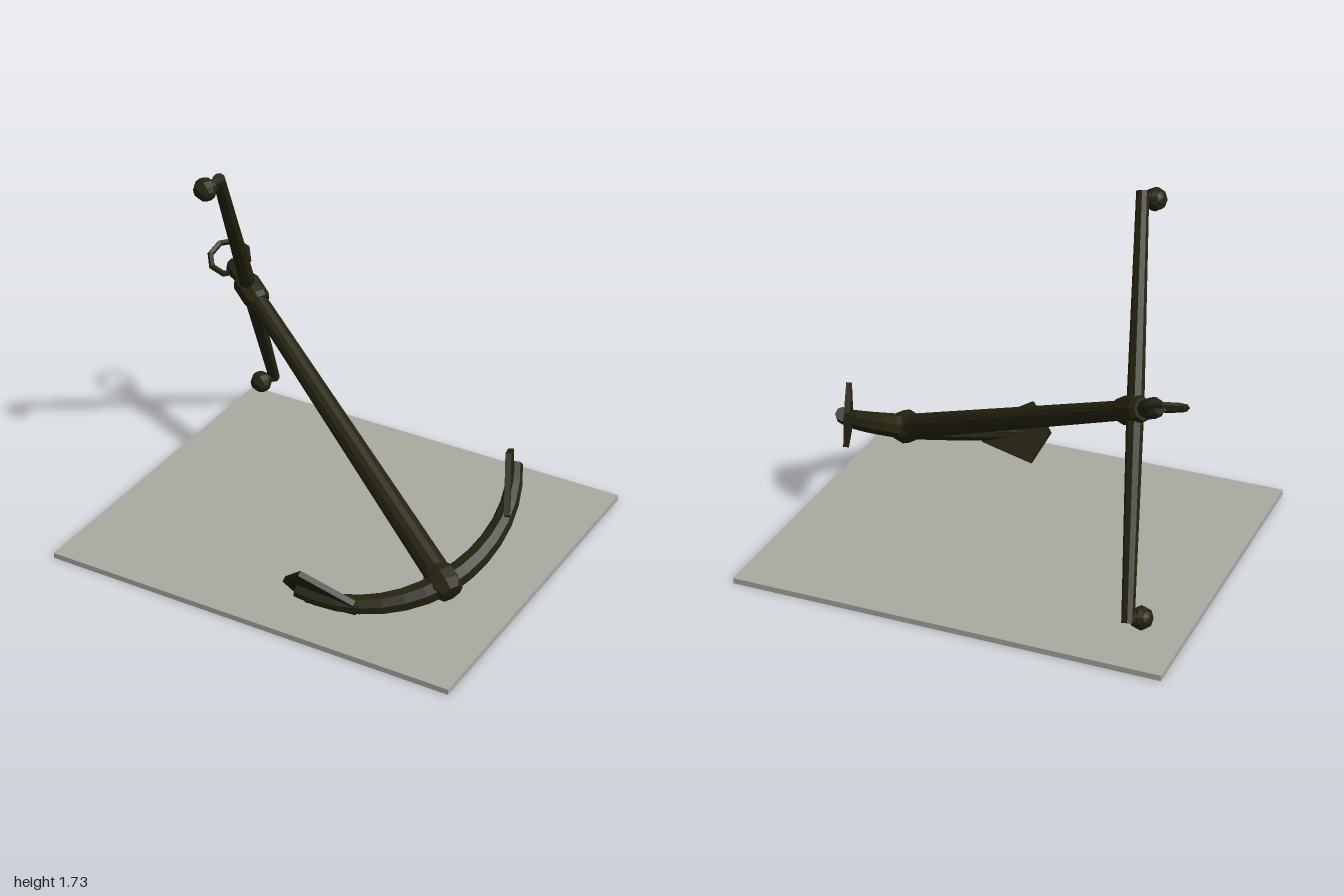
import * as THREE from 'three';

export function createModel() {
  const model = new THREE.Group();
  model.name = 'anchorOnBase';
  const iron = new THREE.MeshStandardMaterial({ name: 'dark iron', color: 0x25230f, flatShading: true });
  const stone = new THREE.MeshStandardMaterial({ name: 'grey stone', color: 0xaaa9a2, flatShading: true });

  const add = (parent, name, geometry, material = iron, x = 0, y = 0, z = 0) => {
    const mesh = new THREE.Mesh(geometry, material);
    mesh.name = name;
    mesh.position.set(x, y, z);
    parent.add(mesh);
    return mesh;
  };
  // Turned part from [radius, height] pairs
  const lathe = (points, sides = 8) =>
    new THREE.LatheGeometry(points.map(([r, y]) => new THREE.Vector2(r, y)), sides);

  // Flat slab under the anchor
  add(model, 'base', new THREE.BoxGeometry(2, 0.026, 1.7), stone, 0, 0.013, 0);

  // Tilted frame: origin at the crown, y up the shank, z along the stock, x along the arms
  const anchor = new THREE.Group();
  anchor.name = 'anchor';
  const up = new THREE.Vector3(-0.811, 0.413, -0.415).normalize();
  const along = new THREE.Vector3(0.176, 0.841, 0.511);
  along.addScaledVector(up, -along.dot(up)).normalize();
  const side = new THREE.Vector3().crossVectors(up, along);
  anchor.quaternion.setFromRotationMatrix(new THREE.Matrix4().makeBasis(side, up, along));
  anchor.position.set(0.75, 0.215, 0.42);
  model.add(anchor);

  // Shank with crown boss, stock collar and rounded head
  add(anchor, 'shank', lathe([[0, 0], [0.06, 0], [0.043, 1.66], [0.043, 1.8], [0, 1.8]], 12));
  add(anchor, 'crown', lathe([[0, -0.065], [0.055, -0.06], [0.08, -0.02], [0.08, 0.03], [0.06, 0.075], [0, 0.075]]));
  add(anchor, 'stockCollar', lathe([[0, 1.645], [0.052, 1.645], [0.062, 1.67], [0.062, 1.775], [0.05, 1.8], [0, 1.8]]));
  add(anchor, 'shankHead', lathe([[0, 1.8], [0.036, 1.8], [0.046, 1.84], [0.046, 1.88], [0.03, 1.905], [0, 1.905]]));
  add(anchor, 'ring', new THREE.TorusGeometry(0.092, 0.015, 5, 8), iron, 0, 1.935, 0);

  // Stock tapering to both ends, each end carrying an offset ball
  const stock = new THREE.Group();
  stock.name = 'stock';
  stock.position.set(0, 1.745, 0.018);
  anchor.add(stock);
  const bar = lathe([[0, -0.91], [0.028, -0.91], [0.038, 0], [0.028, 0.91], [0, 0.91]]);
  add(stock, 'stockBar', bar).rotation.x = Math.PI / 2;
  for (const s of [-1, 1]) {
    add(stock, 'stockNeck', new THREE.CylinderGeometry(0.026, 0.026, 0.07, 8), iron, -0.035, 0, s * 0.885)
      .rotation.z = Math.PI / 2;
    add(stock, 'stockBall', new THREE.SphereGeometry(0.053, 8, 6), iron, -0.07, 0, s * 0.885);
  }

  // Curved arms: a tube on an arc, thinned toward both tips, with flat ends
  const R = 0.64, steps = 16, sides = 8, reach = 1.034 * 8 / 7;
  const arc = new THREE.Curve();
  arc.getPoint = (t, target = new THREE.Vector3()) => {
    const a = (t * 2 - 1) * reach;
    return target.set(R * Math.sin(a), R - R * Math.cos(a), 0);
  };
  const arms = new THREE.TubeGeometry(arc, steps, 0.06, sides);
  const pos = arms.attributes.position, v = new THREE.Vector3();
  for (let i = 0; i < pos.count; i++) {
    const ring = Math.floor(i / (sides + 1));
    const inner = Math.min(Math.max(ring, 1), steps - 1);
    const center = arc.getPointAt(inner / steps);
    const scale = ring === inner ? 1 - 0.5 * Math.abs(ring / steps * 2 - 1) : 0;
    v.fromBufferAttribute(pos, i).sub(center).multiplyScalar(scale).add(center);
    pos.setXYZ(i, v.x, v.y, v.z);
  }
  arms.computeVertexNormals();
  add(anchor, 'arms', arms);

  // Pointed flukes, narrow at the arm and widest near the tip
  const outline = new THREE.Shape([[-0.05, 0], [0.05, 0], [0.148, 0.25], [0, 0.345], [-0.148, 0.25]]
    .map(([x, y]) => new THREE.Vector2(x, y)));
  const plate = new THREE.ExtrudeGeometry(outline, { depth: 0.026, bevelEnabled: false });
  plate.translate(0, 0, -0.013);
  for (const s of [-1, 1]) {
    const fluke = add(anchor, s > 0 ? 'rightFluke' : 'leftFluke', plate, iron, s * 0.38, 0.103, 0);
    const length = new THREE.Vector3(s * 0.565, 0.825, 0).normalize();
    const width = new THREE.Vector3(0, 0, 1);
    const normal = new THREE.Vector3().crossVectors(width, length);
    fluke.quaternion.setFromRotationMatrix(new THREE.Matrix4().makeBasis(width, length, normal));
  }
  return model;
}
